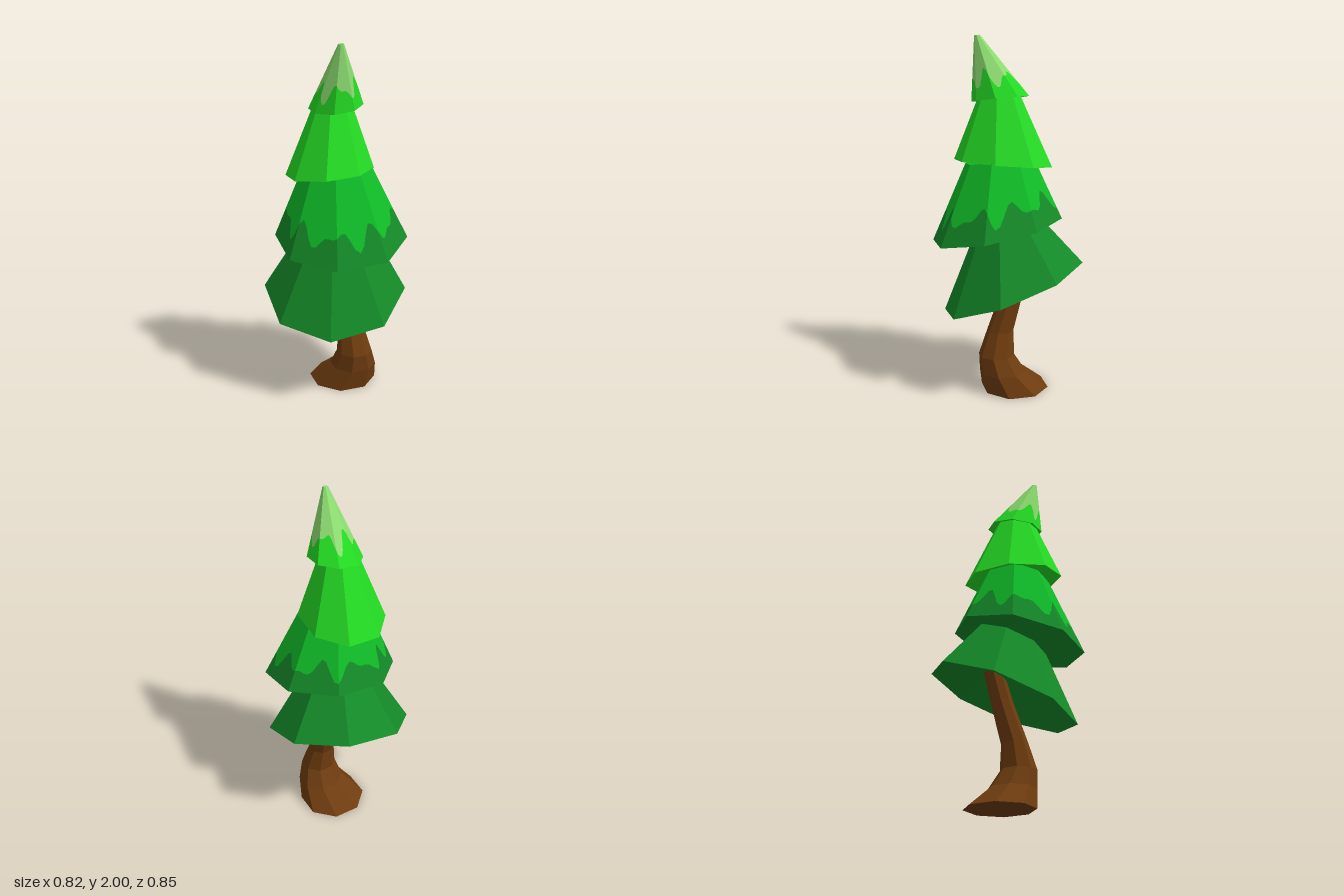
import * as THREE from 'three';

const SIDES = 8;

function material(name, color) {
  const m = new THREE.MeshStandardMaterial({ color });
  m.name = name;
  return m;
}

// Unshared corners give every face its own flat normal
function facetMesh(name, triangles, mat) {
  const geometry = new THREE.BufferGeometry().setFromPoints(triangles);
  geometry.computeVertexNormals();
  const mesh = new THREE.Mesh(geometry, mat);
  mesh.name = name;
  return mesh;
}

// Faces between two loops running around the axis, lower loop first
function band(lower, upper) {
  const out = [];
  lower.forEach((a, i) => {
    const j = (i + 1) % lower.length;
    out.push(a, upper[i], lower[j], lower[j], upper[i], upper[j]);
  });
  return out;
}

// Fan from a loop to one point, facing up or down
function fan(loop, tip, up) {
  const out = [];
  loop.forEach((a, i) => {
    const b = loop[(i + 1) % loop.length];
    if (up) out.push(a, tip, b);
    else out.push(a, b, tip);
  });
  return out;
}

// Tilted octagon; tilt is the rise per unit of x and z
function ring([cx, cy, cz], rx, rz, tilt = [0, 0]) {
  return Array.from({ length: SIDES }, (_, i) => {
    const a = (i / SIDES) * Math.PI * 2;
    const x = rx * Math.cos(a), z = rz * Math.sin(a);
    return new THREE.Vector3(cx + x, cy + x * tilt[0] + z * tilt[1], cz + z);
  });
}

// Adds evenly spaced points along each side of a loop
function subdivide(loop, n) {
  return loop.flatMap((p, i) => Array.from({ length: n }, (_, k) =>
    p.clone().lerp(loop[(i + 1) % loop.length], k / n)));
}

function createTier(t) {
  const group = new THREE.Group();
  group.name = t.name;
  const base = ring(t.base, t.rx, t.rz, t.tilt);
  const top = ring(t.top, t.rx * t.taper, t.rz * t.taper, t.tilt);

  if (t.edge) {
    // Dripping colour boundary splits the slope in two
    const low = subdivide(base, 10), high = subdivide(top, 10);
    const drip = low.map((p, i) => p.clone().lerp(high[i], t.edge((i / low.length) * Math.PI * 2)));
    group.add(facetMesh('lowerFoliage', band(low, drip), t.lower));
    group.add(facetMesh('upperFoliage', band(drip, high), t.upper));
  } else {
    group.add(facetMesh('foliage', band(base, top), t.lower));
  }
  group.add(facetMesh('topCap', fan(top, new THREE.Vector3(...t.top), true), t.upper));
  group.add(facetMesh('underside', fan(base, new THREE.Vector3(...t.hollow), false), t.lower));
  return group;
}

export function createModel() {
  const bark = material('brown bark', 0x6e3c0f);
  const dark = material('dark green', 0x148a28);
  const mid = material('mid green', 0x10bc28);
  const bright = material('bright green', 0x24dc24);
  const pale = material('pale green', 0x8cdc70);

  const tree = new THREE.Group();
  tree.name = 'tree';

  // Bent trunk: centre and radius of each section
  const sections = [
    [0.045, 0, -0.05, 0.195],
    [0.11, 0.12, 0.01, 0.133],
    [0.12, 0.22, 0.043, 0.102],
    [0.1, 0.36, 0.025, 0.075],
    [0.08, 0.6, -0.045, 0.062],
    [0.05, 0.82, -0.1, 0.055],
  ].map(([x, y, z, r]) => ring([x, y, z], r, r));
  const trunk = fan(sections[0], new THREE.Vector3(0.045, 0, -0.05), false);
  for (let i = 1; i < sections.length; i++) trunk.push(...band(sections[i - 1], sections[i]));
  tree.add(facetMesh('trunk', trunk, bark));

  // Foliage tiers from bottom to top
  const tiers = [
    {
      name: 'bottomTier', base: [0, 0.59, -0.03], top: [0, 0.92, 0.01], hollow: [0.05, 0.77, -0.09],
      rx: 0.41, rz: 0.4, tilt: [0, -0.4], taper: 0.5, lower: dark, upper: dark,
    },
    {
      name: 'lowerMiddleTier', base: [0.04, 0.935, 0.055], top: [0.02, 1.34, 0.05], hollow: [0.03, 1.08, 0.05],
      rx: 0.37, rz: 0.367, tilt: [0, -0.205], taper: 0.5, lower: dark, upper: mid,
      edge: (a) => 0.32 + 0.1 * Math.sin(9 * a) + 0.07 * Math.sin(14 * a + 1),
    },
    {
      name: 'upperMiddleTier', base: [-0.025, 1.3, 0.03], top: [-0.008, 1.72, 0.043], hollow: [-0.02, 1.4, 0.035],
      rx: 0.243, rz: 0.278, tilt: [0.1, 0.06], taper: 0.35, lower: bright, upper: bright,
    },
    {
      name: 'topTier', base: [0.01, 1.66, 0.038], top: [0.042, 1.998, 0.157], hollow: [0.01, 1.71, 0.045],
      rx: 0.148, rz: 0.16, tilt: [0.085, -0.11], taper: 0.1, lower: bright, upper: pale,
      edge: (a) => 0.31 + 0.11 * Math.sin(5 * a + 0.5) + 0.07 * Math.sin(8 * a),
    },
  ];
  tiers.forEach((t) => tree.add(createTier(t)));
  return tree;
}
